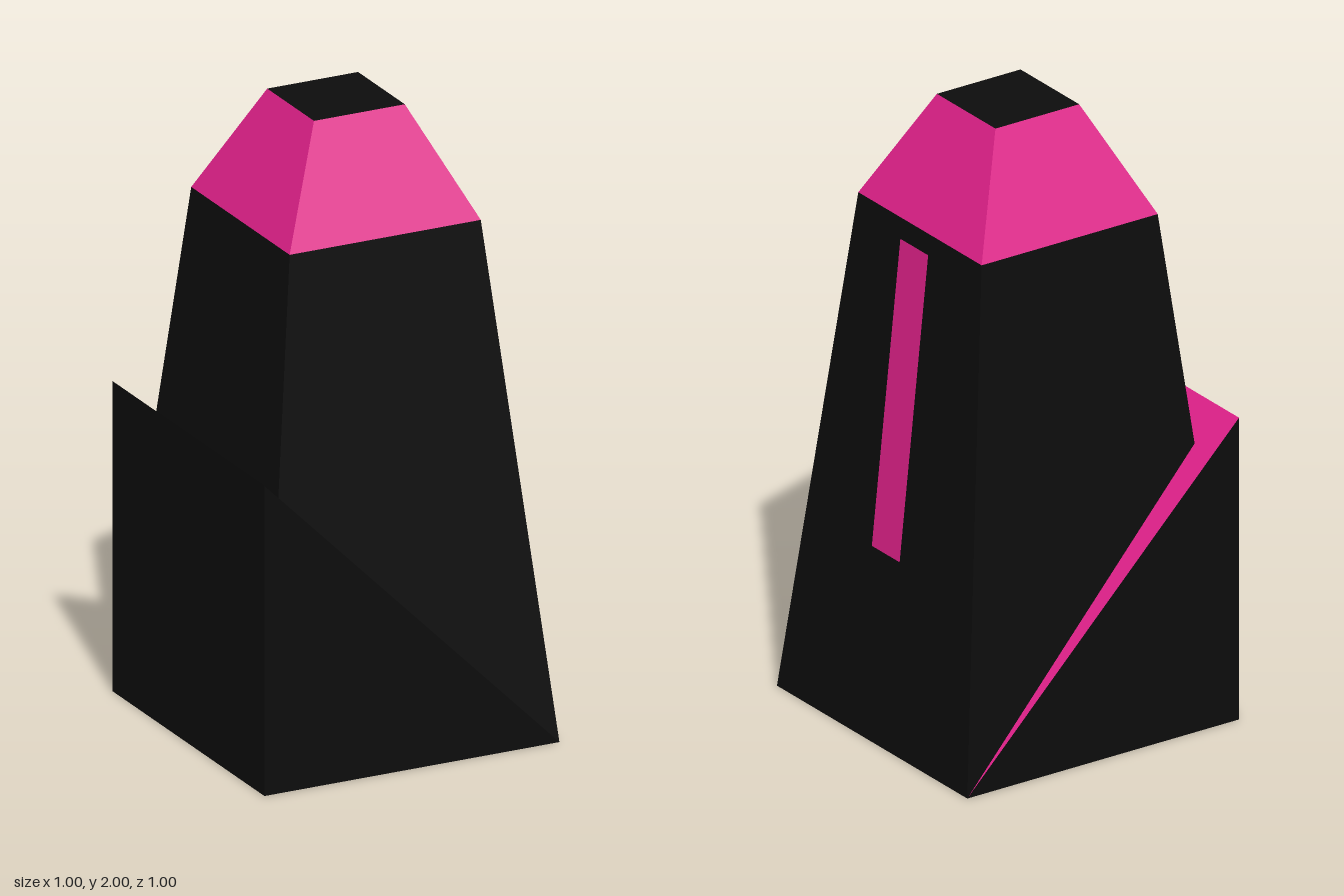
import * as THREE from 'three';

const black = new THREE.MeshStandardMaterial({ color: 0x0c0c0c, flatShading: true });
const pink = new THREE.MeshStandardMaterial({ color: 0xe0218a, flatShading: true });
const pinkThin = pink.clone();
pinkThin.side = THREE.DoubleSide;

function addPart(parent, name, geometry, material) {
  const mesh = new THREE.Mesh(geometry, material);
  mesh.name = name;
  parent.add(mesh);
  return mesh;
}

// Flat convex polygons, corners counterclockwise as seen from outside
function facets(...polygons) {
  const positions = [];
  for (const p of polygons) {
    for (let i = 1; i < p.length - 1; i++) positions.push(...p[0], ...p[i], ...p[i + 1]);
  }
  const geometry = new THREE.BufferGeometry();
  geometry.setAttribute('position', new THREE.Float32BufferAttribute(positions, 3));
  geometry.computeVertexNormals();
  return geometry;
}

// Square tapered block without ends, given by half widths and heights
function taper(bottomHalf, topHalf, y0, y1) {
  return new THREE.CylinderGeometry(topHalf * Math.SQRT2, bottomHalf * Math.SQRT2, y1 - y0, 4, 1, true)
    .rotateY(Math.PI / 4)
    .translate(0, (y0 + y1) / 2, 0);
}

export function createModel() {
  const model = new THREE.Group();
  model.name = 'tower';

  // Tapered body, coloured cap and dark flat ends
  const capY = 1.655, capHalf = 0.324, topHalf = 0.154;
  addPart(model, 'body', taper(0.5, capHalf, 0, capY), black);
  addPart(model, 'cap', taper(capHalf, topHalf, capY, 2), pink);
  addPart(model, 'roof', new THREE.PlaneGeometry(topHalf * 2, topHalf * 2).rotateX(-Math.PI / 2).translate(0, 2, 0), black);
  addPart(model, 'base', new THREE.PlaneGeometry(1, 1).rotateX(Math.PI / 2), black);

  // Wedge rising toward -x: dark walls and a coloured slope
  const wedge = new THREE.Group();
  wedge.name = 'wedge';
  model.add(wedge);
  const h = 0.5;
  const frontTop = [-h, 1, h], backTop = [-h, 1, -h], inset = [-h, 1, 0.45];
  const frontLow = [-h, 0, h], backLow = [-h, 0, -h];
  const frontToe = [h, 0, h], backToe = [h, 0, -h];
  addPart(wedge, 'wedgeWalls', facets(
    [frontLow, frontToe, frontTop],
    [backToe, backLow, backTop],
    [backLow, frontLow, frontTop, backTop],
  ), black);
  addPart(wedge, 'wedgeSlope', facets([backTop, inset, frontToe, backToe]), pink);
  addPart(wedge, 'wedgeSlopeEdge', facets([inset, frontTop, frontToe]), black);

  // Stripe just off the sloping +x face
  const s = 0.073;
  addPart(model, 'sideStripe', facets(
    [[0.45, 0.61, s], [0.45, 0.61, -s], [0.345, 1.6, -s], [0.345, 1.6, s]],
  ), pinkThin);

  return model;
}
